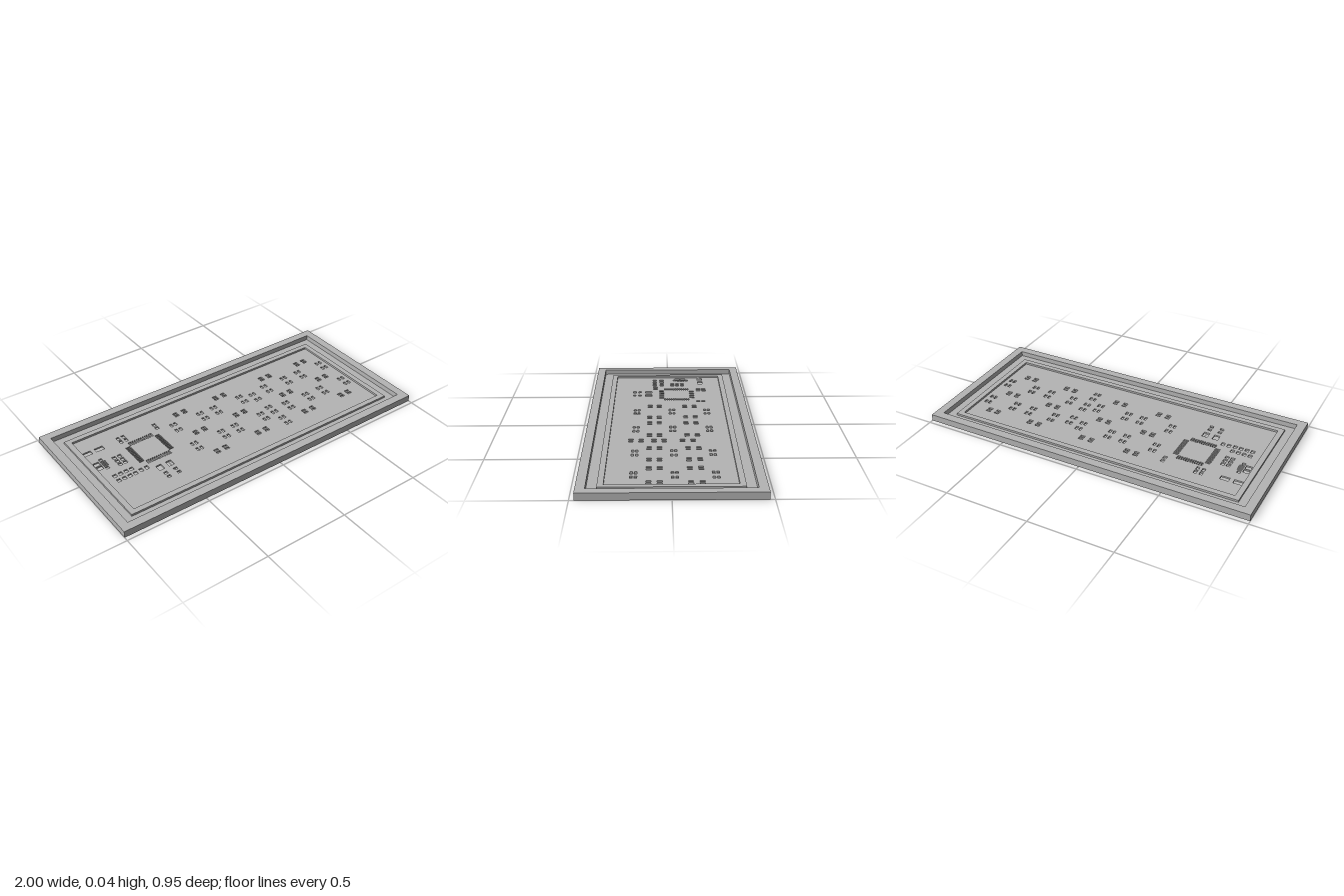
import * as THREE from 'three';

const FLOOR = 0.01, RING = 0.022, RIM = 0.04;

// Rectangle outline; z is flipped because the shapes are laid down flat
function rect(Type, x, z, w, d) {
  const p = new Type();
  p.moveTo(x - w / 2, -z - d / 2);
  p.lineTo(x + w / 2, -z - d / 2);
  p.lineTo(x + w / 2, -z + d / 2);
  p.lineTo(x - w / 2, -z + d / 2);
  p.closePath();
  return p;
}

// Flat slab from y0 to y1 with cut-outs
function slab(name, material, w, d, y0, y1, holes) {
  const shape = rect(THREE.Shape, 0, 0, w, d);
  shape.holes = holes;
  const geo = new THREE.ExtrudeGeometry(shape, { depth: y1 - y0, bevelEnabled: false });
  geo.rotateX(-Math.PI / 2);
  geo.translate(0, y0, 0);
  const mesh = new THREE.Mesh(geo, material);
  mesh.name = name;
  return mesh;
}

function padOpenings() {
  const holes = [];
  const cut = (x, z, w, d) => holes.push(rect(THREE.Path, x, z, w, d));
  const grid = (xs, zs, w, d) => xs.forEach(x => zs.forEach(z => cut(x, z, w, d)));

  // Four-sided chip footprint
  const cx = -0.524, cz = -0.053;
  for (let i = 0; i < 12; i++) {
    const t = (i - 5.5) * 0.0134;
    for (const s of [-0.097, 0.097]) {
      cut(cx + t, cz + s, 0.0075, 0.029);
      cut(cx + s, cz + t, 0.029, 0.0075);
    }
  }

  // Repeating wide pads
  grid([-0.23, -0.171, 0.059, 0.118, 0.412, 0.471, 0.7, 0.758],
    [-0.242, -0.219, -0.03, -0.007, 0.183, 0.206], 0.028, 0.014);

  // Repeating upright pad pairs
  for (const x of [-0.296, -0.107, -0.009, 0.182, 0.374, 0.53, 0.644, 0.82])
    grid([x - 0.0135, x + 0.0135], [-0.157, -0.098, 0.059, 0.116], 0.015, 0.027);
  grid([0.25, 0.277], [-0.13, -0.07, 0.033, 0.09, 0.162, 0.22], 0.015, 0.027);

  // Small parts around the chip
  grid([-0.39], [-0.22, -0.187], 0.022, 0.022);
  grid([-0.626, -0.592], [-0.23, -0.196], 0.018, 0.026);
  grid([-0.73, -0.697], [-0.093, -0.06, -0.028], 0.022, 0.022);
  grid([-0.805, -0.77, -0.735, -0.7], [0.043, 0.088], 0.022, 0.024);
  grid([-0.663, -0.627], [0.083], 0.02, 0.027);
  grid([-0.567, -0.503], [0.126], 0.034, 0.043);
  grid([-0.567, -0.503], [0.183, 0.217], 0.022, 0.018);

  // Connector footprint at the end
  grid([-0.834, -0.757], [-0.213], 0.052, 0.03);
  grid([-0.837], [-0.1, -0.063], 0.034, 0.03);
  grid([-0.802], [-0.122, -0.044], 0.02, 0.02);
  grid([-0.798], [-0.103, -0.093, -0.083, -0.073, -0.063], 0.03, 0.005);
  return holes;
}

export function createModel() {
  const group = new THREE.Group();
  group.name = 'solderStencil';
  const grey = new THREE.MeshStandardMaterial({ color: 0xb4b4b4 });
  grey.name = 'grey';

  // Tall outer border, perforated floor and low inner ridge
  group.add(slab('outerRim', grey, 2, 0.95, 0, RIM, [rect(THREE.Path, 0, 0, 1.9, 0.85)]));
  group.add(slab('perforatedFloor', grey, 1.9, 0.85, 0, FLOOR, padOpenings()));
  group.add(slab('innerRidge', grey, 1.792, 0.744, FLOOR, RING, [rect(THREE.Path, 0, 0, 1.728, 0.68)]));
  return group;
}
